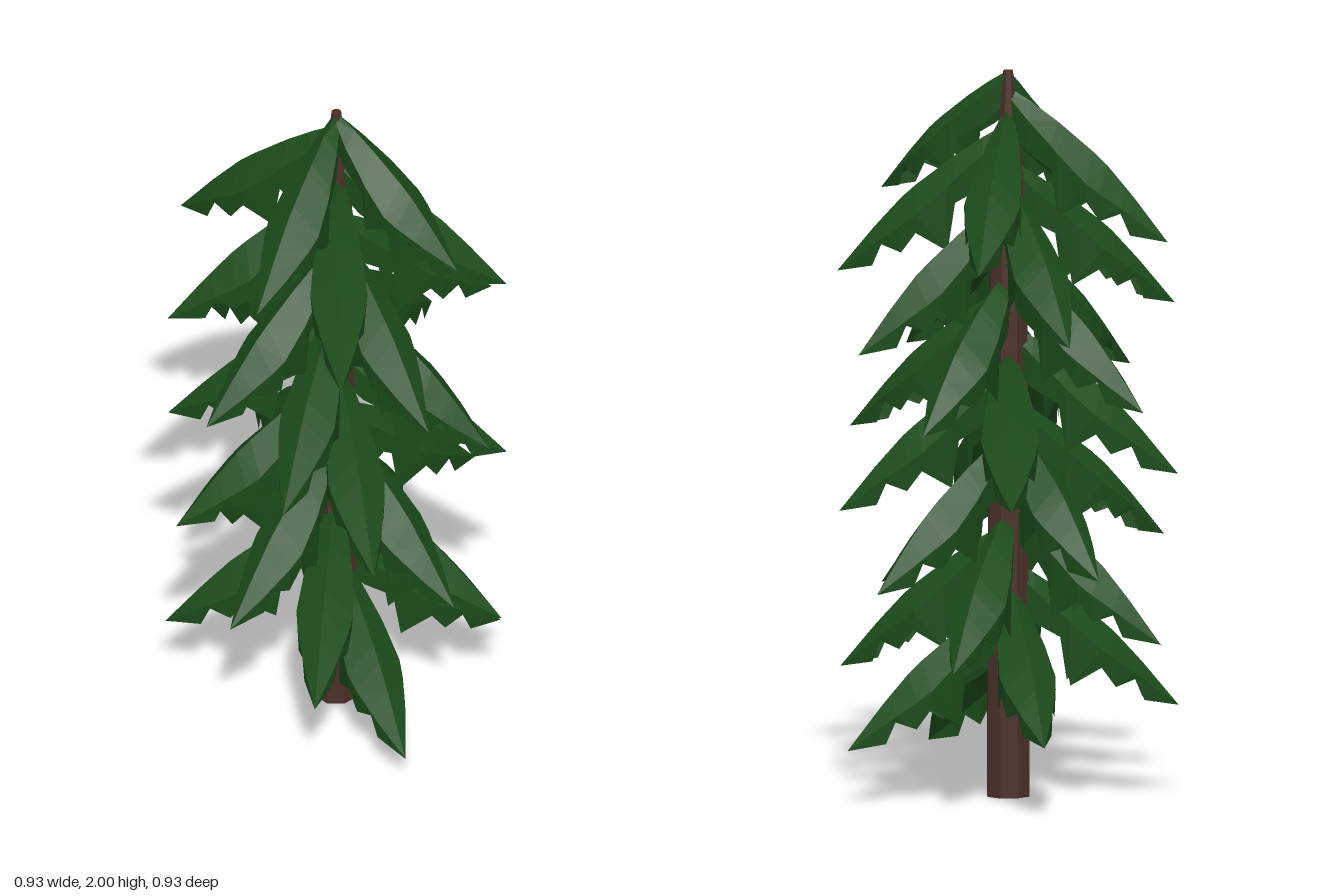
import * as THREE from 'three';

const bark = new THREE.MeshStandardMaterial({ color: 0x4a3028, flatShading: true });
const needles = new THREE.MeshStandardMaterial({ color: 0x1c4c1b, flatShading: true, side: THREE.DoubleSide });

const DROP = 0.41; // fall of a frond from trunk to tip

// Arching frond along +x, tip at y = 0: a ridge, a smooth shoulder and a ragged hem on each side.
function frondGeometry() {
  // [distance out, ridge height, half width, shoulder height, hem height]
  const sections = [
    [0.0, DROP, 0.012, 0.39, 0.3],
    [0.07, 0.37, 0.04, 0.325, 0.235],
    [0.145, 0.32, 0.06, 0.26, 0.195],
    [0.165, 0.305, 0.066, 0.24, 0.065],
    [0.25, 0.24, 0.078, 0.165, 0.115],
    [0.29, 0.205, 0.07, 0.135, 0.06],
    [0.345, 0.145, 0.052, 0.095, 0.08],
    [0.37, 0.117, 0.043, 0.075, 0.02],
    [0.467, 0, 0, 0, 0],
  ];
  const points = [], index = [];
  for (const side of [1, -1]) {
    const start = points.length / 3;
    for (const [x, ridge, w, shoulder, hem] of sections) {
      points.push(x, ridge, 0, x, shoulder, side * w, x, hem, side * w * 0.95);
    }
    for (let i = 0; i < sections.length - 1; i++) {
      for (let j = 0; j < 2; j++) {
        const a = start + i * 3 + j, b = a + 3;
        if (side > 0) index.push(a, a + 1, b, b, a + 1, b + 1);
        else index.push(a, b, a + 1, b, b + 1, a + 1);
      }
    }
  }
  const geo = new THREE.BufferGeometry();
  geo.setAttribute('position', new THREE.Float32BufferAttribute(points, 3));
  geo.setIndex(index);
  geo.computeVertexNormals();
  return geo;
}

export function createModel() {
  const tree = new THREE.Group();
  tree.name = 'conifer';

  // Eight-sided trunk, narrowing to the crown
  const profile = [[0, 0], [0.062, 0], [0.056, 1.35], [0.045, 1.7], [0.014, 2], [0, 2]];
  const trunk = new THREE.Mesh(
    new THREE.LatheGeometry(profile.map(([r, y]) => new THREE.Vector2(r, y)), 8), bark);
  trunk.name = 'trunk';
  tree.add(trunk);

  // Fronds climb the trunk in an even spiral; the top few are shorter and meet at the apex
  const geo = frondGeometry();
  const count = 32;
  const crown = new THREE.Group();
  crown.name = 'foliage';
  for (let i = 0; i < count; i++) {
    const frond = new THREE.Mesh(geo, needles);
    frond.name = `frond${i + 1}`;
    const tipY = 0.095 + 0.05 * i;
    frond.position.y = tipY;
    frond.rotation.y = THREE.MathUtils.degToRad(-87.4 + 82.22 * i);
    frond.scale.x = [0.89, 0.945, 0.98][count - 1 - i] ?? 1;
    frond.scale.y = Math.min(1, (2 - tipY) / DROP);
    crown.add(frond);
  }
  tree.add(crown);
  return tree;
}
